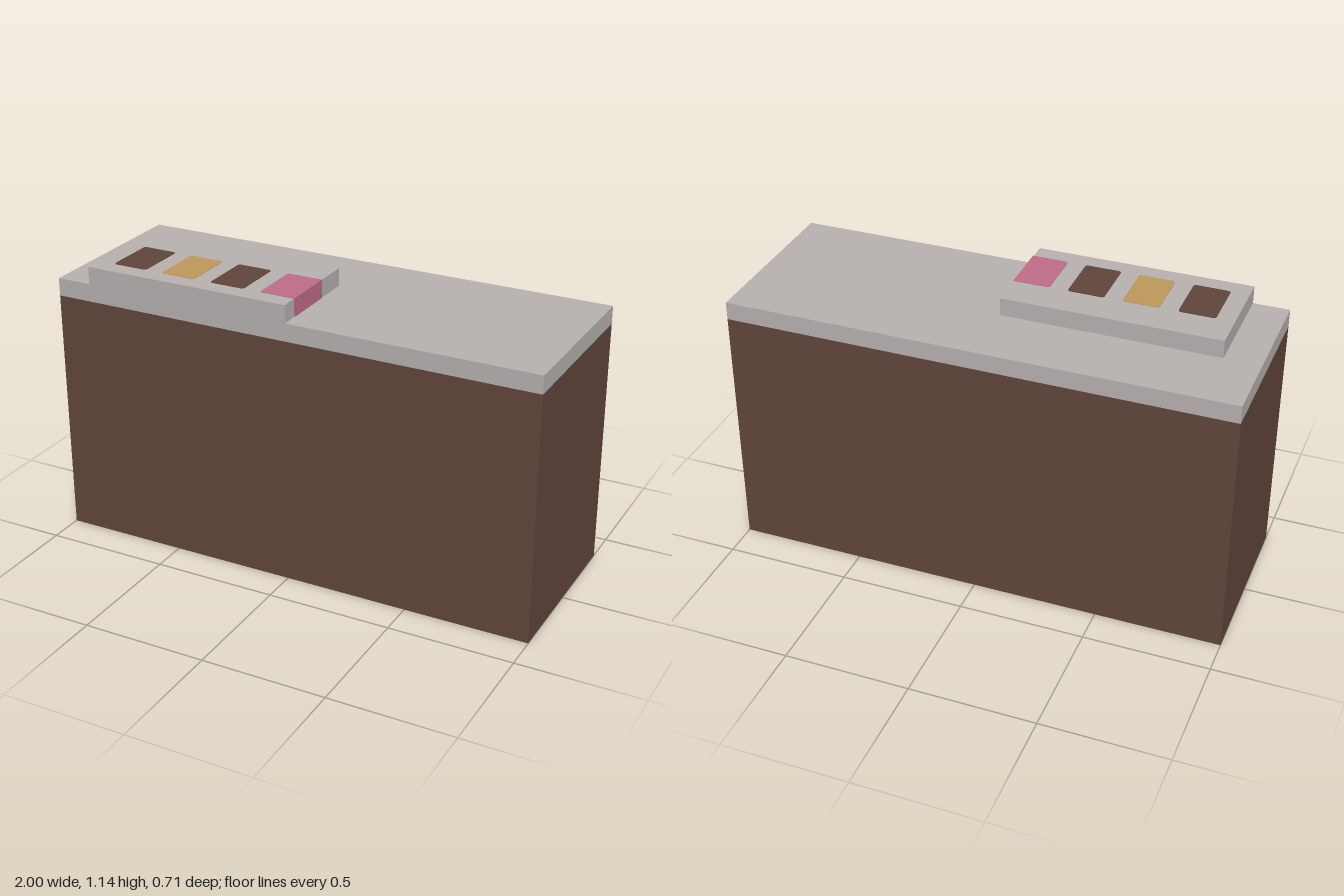
import * as THREE from 'three';

const U = 1 / 14; // modelling unit

const material = (name, color) => {
  const m = new THREE.MeshStandardMaterial({ color });
  m.name = name;
  return m;
};

// Box given by its minimum and maximum corners, in units
function block(name, mat, min, max) {
  const size = max.map((v, i) => (v - min[i]) * U);
  const mesh = new THREE.Mesh(new THREE.BoxGeometry(...size), mat);
  mesh.position.set(...max.map((v, i) => ((v + min[i]) / 2) * U));
  mesh.name = name;
  return mesh;
}

// Thin plate with rounded corners, lying on the panel; right corners may be square
function pad(name, mat, x, squareRight) {
  const w = 2 * U, h = 3 * U, r = 0.012, q = squareRight ? 0 : r;
  const s = new THREE.Shape();
  s.moveTo(r, 0);
  s.lineTo(w - q, 0);
  if (q) s.quadraticCurveTo(w, 0, w, q);
  s.lineTo(w, h - q);
  if (q) s.quadraticCurveTo(w, h, w - q, h);
  s.lineTo(r, h);
  s.quadraticCurveTo(0, h, 0, h - r);
  s.lineTo(0, r);
  s.quadraticCurveTo(0, 0, r, 0);
  const geo = new THREE.ExtrudeGeometry(s, { depth: 0.002, bevelEnabled: false, curveSegments: 4 });
  geo.rotateX(-Math.PI / 2);
  const mesh = new THREE.Mesh(geo, mat);
  mesh.position.set(x * U, 16 * U, 4 * U);
  mesh.name = name;
  return mesh;
}

export function createModel() {
  const brown = material('dark brown', 0x60453a);
  const grey = material('warm grey', 0xb6b0af);
  const gold = material('gold', 0xbe975d);
  const pink = material('pink', 0xbd6c87);
  const group = new THREE.Group();
  group.name = 'counter';

  // Cabinet, worktop and raised panel
  group.add(
    block('cabinet', brown, [-14, 0, -5], [14, 14, 5]),
    block('worktop', grey, [-14, 14, -5], [14, 15, 5]),
    block('raisedPanel', grey, [-12, 15, -1], [0, 16, 5]),
  );

  // Row of coloured pads
  [brown, gold, brown, pink].forEach((mat, i) => {
    group.add(pad('pad' + (i + 1), mat, -11 + 3 * i, i === 3));
  });

  // The last pad folds down over the end of the panel
  group.add(block('padEnd', pink, [-0.02, 15, 1], [0.03, 16.028, 4]));
  return group;
}
